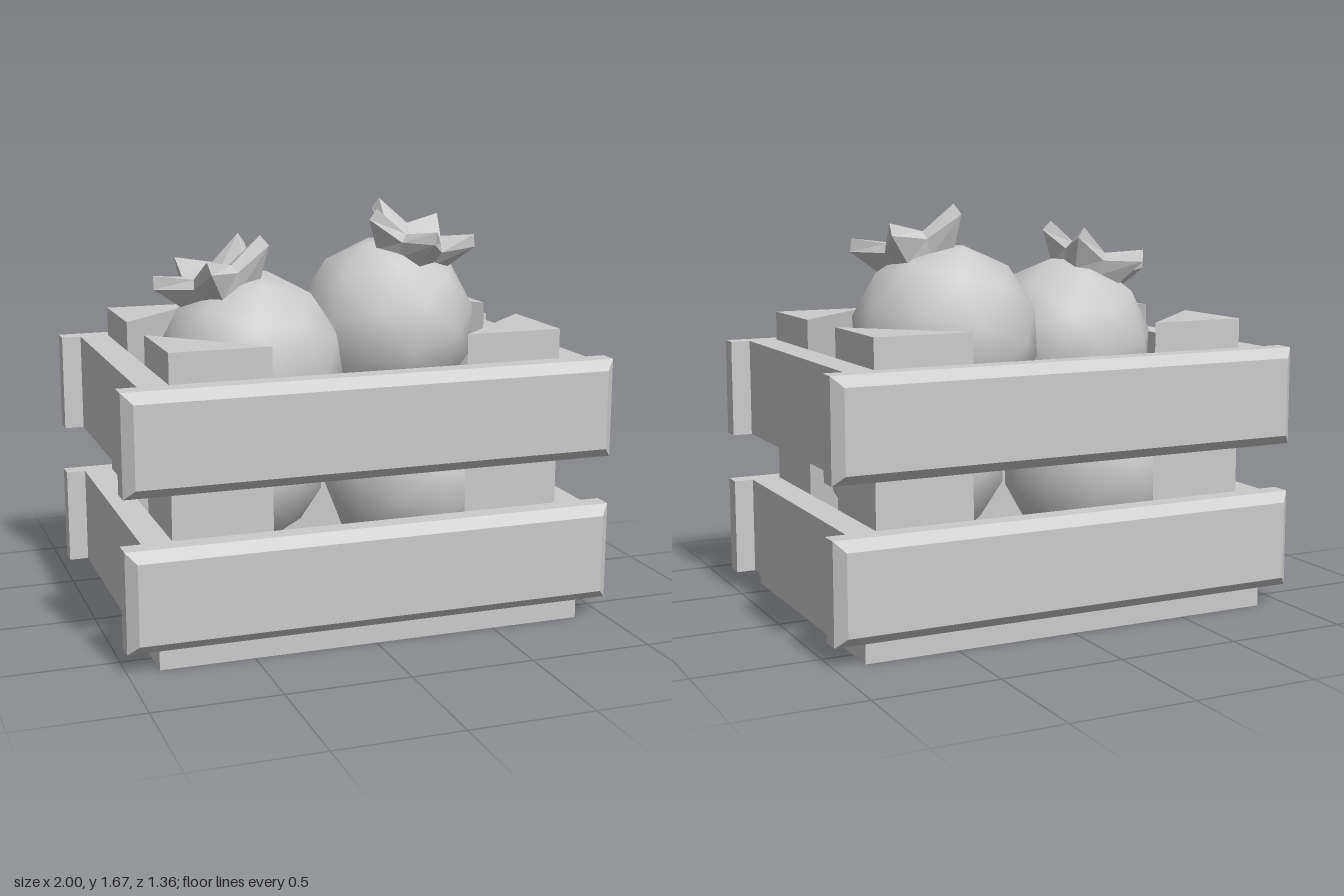
import * as THREE from 'three';

const material = new THREE.MeshStandardMaterial({ color: 0xcccccc, side: THREE.DoubleSide });

function add(parent, name, geometry, x = 0, y = 0, z = 0) {
  const mesh = new THREE.Mesh(geometry, material);
  mesh.name = name;
  mesh.position.set(x, y, z);
  parent.add(mesh);
  return mesh;
}

function faceted(geometry) {
  const g = geometry.index ? geometry.toNonIndexed() : geometry;
  g.computeVertexNormals();
  return g;
}

// Board whose outer (+z) face is chamfered on all four edges
function chamferedPlank(w, h, d, c) {
  const g = new THREE.BoxGeometry(w, h, d, 1, 1, 2);
  const p = g.attributes.position;
  for (let i = 0; i < p.count; i++) {
    if (Math.abs(p.getZ(i)) < 1e-6) p.setZ(i, d / 2 - c);
    else if (p.getZ(i) > 0) {
      p.setX(i, p.getX(i) - Math.sign(p.getX(i)) * c);
      p.setY(i, p.getY(i) - Math.sign(p.getY(i)) * c);
    }
  }
  return faceted(g);
}

// Five-pointed hollow calyx: rings of alternating tips and valleys
function crownGeometry(turn) {
  // [tip radius, tip height, valley radius, valley height]
  const rings = [
    [0.17, -0.02, 0.13, -0.02],
    [0.255, 0.10, 0.155, 0.05],
    [0.235, 0.15, 0.135, 0.085],
    [0, 0.045, 0, 0.045],
  ];
  const pos = [], index = [], n = 10;
  for (const [tr, th, vr, vh] of rings) {
    for (let i = 0; i < n; i++) {
      const a = turn + (i / n) * Math.PI * 2;
      const r = i % 2 ? vr : tr;
      pos.push(r * Math.cos(a), i % 2 ? vh : th, r * Math.sin(a));
    }
  }
  for (let k = 0; k < rings.length - 1; k++) {
    for (let i = 0; i < n; i++) {
      const a = k * n + i, b = k * n + (i + 1) % n;
      index.push(a, a + n, b);
      if (k < rings.length - 2) index.push(b, a + n, b + n);
    }
  }
  const g = new THREE.BufferGeometry();
  g.setAttribute('position', new THREE.Float32BufferAttribute(pos, 3));
  g.setIndex(index);
  return faceted(g);
}

export function createModel() {
  const model = new THREE.Group();
  model.name = 'fruitCrate';

  // Crate floor
  add(model, 'floor', new THREE.BoxGeometry(1.75, 0.08, 1.26), 0, 0.04, 0);

  // Two rows of planks on every side
  const longPlank = chamferedPlank(2, 0.4, 0.12, 0.04);
  const shortPlank = new THREE.BoxGeometry(0.12, 0.4, 1.12);
  for (const y of [0.28, 0.88]) {
    add(model, 'frontPlank', longPlank, 0, y, 0.62);
    add(model, 'backPlank', longPlank, 0, y, -0.62).rotation.y = Math.PI;
    add(model, 'leftPlank', shortPlank, 0.86, y, 0);
    add(model, 'rightPlank', shortPlank, -0.86, y, 0);
  }

  // Triangular corner posts
  for (const sx of [-1, 1]) {
    for (const sz of [-1, 1]) {
      const outline = new THREE.Shape([
        new THREE.Vector2(sx * 0.8, -sz * 0.56),
        new THREE.Vector2(sx * 0.4, -sz * 0.56),
        new THREE.Vector2(sx * 0.8, -sz * 0.16),
      ]);
      const post = new THREE.ExtrudeGeometry(outline, { depth: 1.12, bevelEnabled: false });
      post.rotateX(-Math.PI / 2);
      add(model, 'cornerPost', post, 0, 0.08, 0);
    }
  }

  // Round fruits; the upper two carry tilted crowns
  const fruits = [
    { at: [0.32, 1.14, -0.125], axis: [0.25, 0.95, 0.19], turn: 22 },
    { at: [-0.355, 1.05, 0.115], axis: [-0.35, 0.93, -0.05], turn: 33 },
    { at: [-0.335, 0.58, -0.17], axis: [0.2, 0.95, 0.2] },
    { at: [0.32, 0.58, 0.185], axis: [-0.1, 0.95, -0.25] },
  ];
  const up = new THREE.Vector3(0, 1, 0);
  for (const { at, axis, turn } of fruits) {
    const fruit = new THREE.Group();
    fruit.name = 'fruit';
    fruit.position.set(...at);
    fruit.quaternion.setFromUnitVectors(up, new THREE.Vector3(...axis).normalize());
    add(fruit, 'fruitBody', new THREE.IcosahedronGeometry(0.38, 1));
    if (turn !== undefined) {
      add(fruit, 'fruitCrown', crownGeometry(THREE.MathUtils.degToRad(turn)), 0, 0.335, 0);
    }
    model.add(fruit);
  }
  return model;
}
